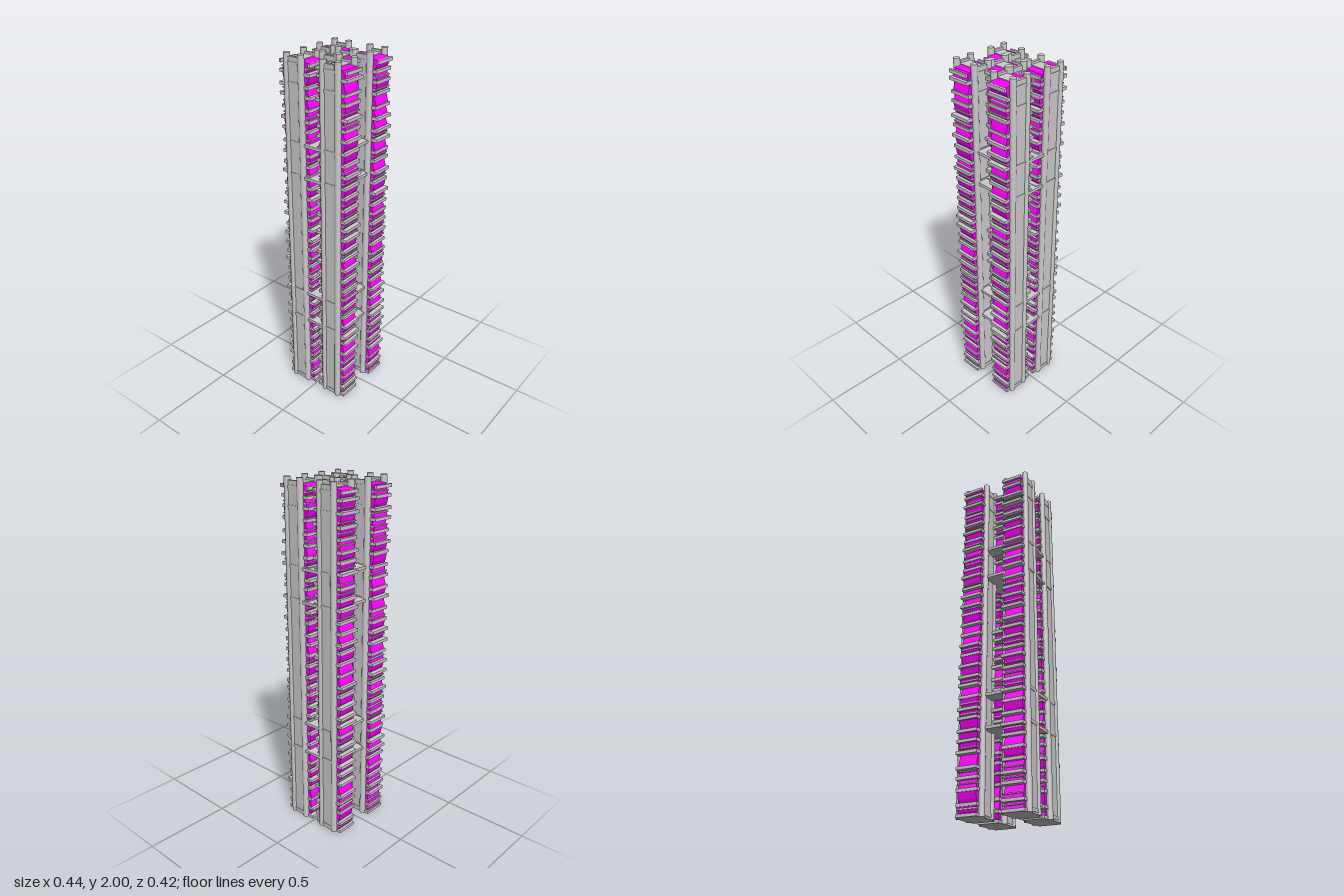
import * as THREE from 'three';

const grey = new THREE.MeshStandardMaterial({ color: 0xcccccc, flatShading: true });
const smoothGrey = new THREE.MeshStandardMaterial({ color: 0xcccccc });
const magenta = new THREE.MeshStandardMaterial({ color: 0xff00ff, flatShading: true });

// Small seeded generator for the irregular ledges
function seeded(seed) {
  let s = seed;
  return () => (s = (s * 16807) % 2147483647) / 2147483647;
}

function box(parent, name, [x0, x1], [y0, y1], [z0, z1], mat = grey) {
  const mesh = new THREE.Mesh(new THREE.BoxGeometry(x1 - x0, y1 - y0, z1 - z0), mat);
  mesh.position.set((x0 + x1) / 2, (y0 + y1) / 2, (z0 + z1) / 2);
  mesh.name = name;
  parent.add(mesh);
  return mesh;
}

// One slab tower: corner columns, blank walls on +-z, glazed and ledged faces on +-x
function tower(name, x, z, y0, y1, seed, halfColumn = 0.046) {
  const group = new THREE.Group();
  group.name = name;
  group.position.set(x, 0, z);
  const rand = seeded(seed);
  const roof = y1 - 0.03;
  const columnZ = 0.064;

  // Columns, walls and wall bands
  for (const sz of [-1, 1]) {
    for (const sx of [-1, 1]) {
      const column = new THREE.Mesh(
        new THREE.CylinderGeometry(0.0175, 0.0175, y1 - y0, 20), smoothGrey);
      column.position.set(sx * halfColumn, (y0 + y1) / 2, sz * columnZ);
      column.name = 'cornerColumn';
      group.add(column);
    }
    const wz = sz * columnZ;
    box(group, 'endWall', [-halfColumn, halfColumn], [y0, roof + 0.012], [wz - 0.008, wz + 0.008]);
    for (const y of [0.01, 0.45, 0.63, 1.35, 1.53, 1.84, 1.94]) {
      if (y < y0 || y > roof) continue;
      box(group, 'wallBand', [-halfColumn, halfColumn], [y, y + 0.018], [wz - 0.011, wz + 0.011]);
    }
  }

  // Ledge levels with an uneven rhythm
  const levels = [];
  const bays = Math.round((roof - y0) / 0.062);
  const step = (roof - 0.012 - y0) / bays;
  for (let i = 0; i <= bays; i++) {
    const jitter = i === 0 || i === bays ? 0 : (rand() - 0.5) * 0.02;
    levels.push(y0 + i * step + jitter);
  }

  // Folded glazing, one zigzag outline extruded across the tower
  const left = [], right = [];
  levels.forEach((y, i) => {
    if (i === bays) return;
    const next = levels[i + 1];
    for (const side of [left, right]) {
      const flare = rand() > 0.5;
      side.push([flare ? 0.068 : 0.087, y + 0.006]);
      side.push([0.08, (y + next) / 2]);
      side.push([flare ? 0.087 : 0.068, next]);
    }
  });
  const outline = [
    ...right.map(([d, y]) => new THREE.Vector2(d, y)),
    new THREE.Vector2(0.035, roof - 0.004), new THREE.Vector2(-0.035, roof - 0.004),
    ...left.reverse().map(([d, y]) => new THREE.Vector2(-d, y)),
  ];
  const glazing = new THREE.Mesh(new THREE.ExtrudeGeometry(new THREE.Shape(outline),
    { depth: 0.108, bevelEnabled: false }), magenta);
  glazing.position.z = -0.054;
  glazing.name = 'foldedGlazing';
  group.add(glazing);

  // Ledges and thin mullions on each long face
  levels.forEach((y, i) => {
    if (i === bays) return;
    for (const s of [-1, 1]) {
      const reach = rand() > 0.6 ? 0.101 : 0.09;
      const halfZ = 0.06 + rand() * 0.005;
      const xs = s > 0 ? [0.03, reach] : [-reach, -0.03];
      box(group, 'ledge', xs, [y, y + 0.017], [-halfZ, halfZ]);
      if (rand() > 0.45) {
        const bar = s > 0 ? [0.03, 0.088] : [-0.088, -0.03];
        const by = y + 0.028 + rand() * 0.012;
        box(group, 'thinLedge', bar, [by, by + 0.006], [-0.057, 0.057]);
      }
    }
  });

  // Floor and recessed roof
  box(group, 'floor', [-0.085, 0.085], [y0, y0 + 0.012], [-0.06, 0.06]);
  box(group, 'roof', [-0.034, 0.034], [roof - 0.02, roof], [-0.058, 0.058]);
  // Roof edge rims
  for (const s of [-1, 1]) {
    box(group, 'roofRim', s > 0 ? [0.088, 0.1] : [-0.1, -0.088],
      [roof - 0.03, roof - 0.012], [-0.062, 0.062]);
  }
  return group;
}

export function createModel() {
  const model = new THREE.Group();
  model.name = 'clusterTower';

  // Four corner towers
  model.add(tower('frontRightTower', -0.111, 0.129, 0, 2, 1201));
  model.add(tower('frontLeftTower', 0.119, 0.129, 0, 2, 4507));
  model.add(tower('backRightTower', -0.114, -0.132, 0, 2, 7919));
  model.add(tower('backLeftTower', 0.115, -0.132, 0, 2, 3331));

  // Two central blocks hung between the corner towers
  model.add(tower('lowerCoreBlock', 0.01, -0.003, 0.45, 1.08, 6151));
  model.add(tower('upperCoreBlock', 0.01, -0.003, 1.35, 2, 8887));

  // Shared platforms tying the towers together
  for (const y of [0.445, 0.627, 1.345, 1.527]) {
    box(model, 'linkPlatform', [-0.165, 0.171], [y, y + 0.016], [-0.206, 0.202]);
  }
  return model;
}
